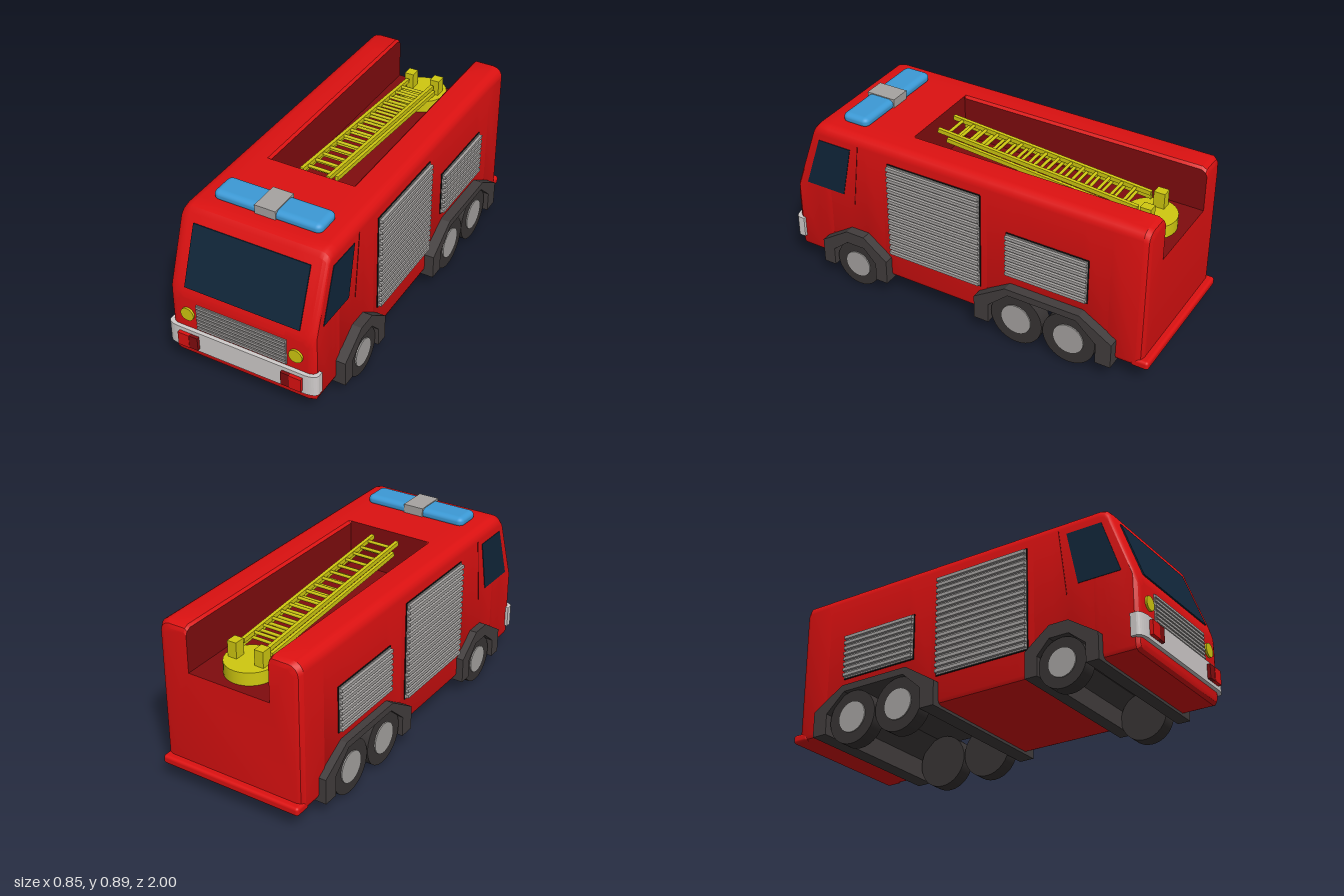
import * as THREE from 'three';
import { toCreasedNormals } from 'three/addons/utils/BufferGeometryUtils.js';
import { RoundedBoxGeometry } from 'three/addons/geometries/RoundedBoxGeometry.js';

const mat = (name, color) => {
  const m = new THREE.MeshStandardMaterial({ color });
  m.name = name;
  return m;
};

export function createModel() {
  const red = mat('red', 0xdd1111), darkRed = mat('darkRed', 0x800c0e), glass = mat('glass', 0x10263a);
  const fenderGrey = mat('fenderGrey', 0x423d3d), tyreGrey = mat('tyreGrey', 0x383434);
  const steel = mat('steel', 0xa6a3a1), bumperGrey = mat('bumperGrey', 0xd0cccb);
  const yellow = mat('yellow', 0xd0c810), blue = mat('blue', 0x3c9ad6), black = mat('black', 0x161414);

  const model = new THREE.Group();
  const truck = new THREE.Group();
  truck.name = 'truckBody';
  truck.position.x = -0.006;
  model.add(truck);

  const add = (name, geo, material, x = 0, y = 0, z = 0, parent = truck) => {
    const m = new THREE.Mesh(geo, material);
    m.name = name;
    m.position.set(x, y, z);
    parent.add(m);
    return m;
  };
  const box = (name, w, h, d, material, x, y, z, parent) =>
    add(name, new THREE.BoxGeometry(w, h, d), material, x, y, z, parent);
  // side outline given as [z, y], extruded across x and centred
  const sideExtrude = (pts, width) => {
    const shape = new THREE.Shape(pts.map(([z, y]) => new THREE.Vector2(z, y)));
    const g = new THREE.ExtrudeGeometry(shape, { depth: width, bevelEnabled: false });
    return g.translate(0, 0, -width / 2).rotateY(-Math.PI / 2);
  };

  // ---- Hull: cross-sections lofted along z, with an open trough in the roof
  const FLOOR = 0.62, TROUGH = 0.22;
  const section = (bottom, top, inset, floor) => {
    const w = 0.38 - inset, b = bottom + inset, t = top - inset, rb = 0.025, rt = 0.05;
    const half = [[w - rb, b], [w - 0.3 * rb, b + 0.3 * rb], [w, b + rb]];
    for (let i = 0; i <= 4; i++) {
      const a = (i / 4) * Math.PI / 2;
      half.push([w - rt + rt * Math.cos(a), t - rt + rt * Math.sin(a)]);
    }
    const f = floor ?? t;
    half.push([TROUGH + 0.012, t], [TROUGH, Math.max(f, t - 0.012)], [TROUGH, f]);
    return half.concat(half.map(([x, y]) => [-x, y]).reverse());
  };
  // z, bottom, top, inset, trough floor; the bottom steps up over the wheels
  const stations = [
    [-0.965, 0.1, 0.85, 0.03, FLOOR], [-0.957, 0.1, 0.85, 0.012, FLOOR], [-0.935, 0.1, 0.85, 0, FLOOR],
    [-0.79, 0.1, 0.85, 0, FLOOR], [-0.79, 0.225, 0.85, 0, FLOOR], [-0.655, 0.3, 0.85, 0, FLOOR],
    [-0.285, 0.3, 0.85, 0, FLOOR], [-0.15, 0.225, 0.85, 0, FLOOR], [-0.15, 0.1, 0.85, 0, FLOOR],
    [0.335, 0.1, 0.85, 0, FLOOR], [0.34, 0.1, 0.85, 0],
    [0.43, 0.1, 0.85, 0], [0.43, 0.22, 0.85, 0], [0.53, 0.27, 0.85, 0], [0.63, 0.27, 0.85, 0],
    [0.745, 0.22, 0.85, 0], [0.745, 0.1, 0.85, 0],
    [0.78, 0.1, 0.85, 0], [0.81, 0.1, 0.842, 0], [0.83, 0.1, 0.82, 0],
    [0.94, 0.1, 0.515, 0], [0.956, 0.1, 0.483, 0.012], [0.962, 0.1, 0.47, 0.03],
  ];
  const rings = stations.map(([z, b, t, i, f]) => section(b, t, i, f).map(([x, y]) => [x, y, z]));
  const hullPos = [], troughPos = [], n = rings[0].length, h = n / 2;
  for (let i = 0; i < rings.length - 1; i++) {
    for (let j = 0; j < n; j++) {
      const k = (j + 1) % n, a = rings[i][j], b = rings[i][k], c = rings[i + 1][k], d = rings[i + 1][j];
      const inTrough = j >= h - 2 && j <= h && stations[i][4] !== undefined;
      (inTrough ? troughPos : hullPos).push(...a, ...b, ...c, ...a, ...c, ...d);
    }
  }
  const cap = (ring, flip) => {
    const tris = THREE.ShapeUtils.triangulateShape(ring.map(([x, y]) => new THREE.Vector2(x, y)), []);
    for (const [a, b, c] of tris) hullPos.push(...ring[a], ...ring[flip ? c : b], ...ring[flip ? b : c]);
  };
  cap(rings[0], true);
  cap(rings[rings.length - 1], false);
  const fromPositions = (p) => {
    const g = new THREE.BufferGeometry();
    g.setAttribute('position', new THREE.Float32BufferAttribute(p, 3));
    return toCreasedNormals(g, 0.5);
  };
  add('hull', fromPositions(hullPos), red);
  add('roofTrough', fromPositions(troughPos), darkRed);
  add('rearStep', new RoundedBoxGeometry(0.76, 0.045, 0.09, 3, 0.015), red, 0, 0.122, -0.955);

  // ---- Windows
  const screen = box('windscreen', 0.602, 0.308, 0.008, glass, 0, 0.636, 0.899);
  screen.rotation.x = -0.347;
  const sideGlass = [[0.885, 0.5], [0.794, 0.77], [0.611, 0.77], [0.665, 0.5]];
  for (const s of [-1, 1]) {
    add('sideWindow', sideExtrude(sideGlass, 0.008), glass, s * 0.379);
    const seam = box('doorSeam', 0.004, 0.34, 0.004, darkRed, s * 0.38, 0.63, 0.585);
    seam.rotation.x = -0.11;
  }

  // ---- Roller shutters: dark frame, backing plate and slats
  const shutter = (s, z, y, w, height, count) => {
    const g = new THREE.Group();
    g.name = 'shutter';
    truck.add(g);
    box('shutterFrame', 0.008, height + 0.008, w + 0.008, black, s * 0.381, y, z, g);
    box('shutterPlate', 0.01, height, w, steel, s * 0.384, y, z, g);
    const pitch = height / count;
    for (let i = 0; i < count; i++) {
      box('slat', 0.016, pitch * 0.55, w, steel, s * 0.395, y - height / 2 + (i + 0.5) * pitch, z, g);
    }
  };
  for (const s of [-1, 1]) {
    shutter(s, 0.14, 0.503, 0.506, 0.513, 17);
    shutter(s, -0.468, 0.487, 0.422, 0.232, 8);
  }

  // ---- Front: grille, headlights, bumper and lamps
  box('grilleFrame', 0.474, 0.14, 0.01, steel, 0, 0.35, 0.962);
  for (let i = 0; i < 7; i++) box('grilleBar', 0.47, 0.012, 0.008, steel, 0, 0.29 + i * 0.02, 0.969);
  const plan = new THREE.Shape();
  plan.moveTo(-0.395, 0.925);
  plan.lineTo(0.395, 0.925);
  plan.lineTo(0.395, 0.955);
  plan.quadraticCurveTo(0.39, 0.978, 0.34, 0.982);
  plan.lineTo(-0.34, 0.982);
  plan.quadraticCurveTo(-0.39, 0.978, -0.395, 0.955);
  const bumper = new THREE.ExtrudeGeometry(plan, { depth: 0.11, bevelEnabled: false, curveSegments: 6 });
  add('bumper', bumper.rotateX(Math.PI / 2), bumperGrey, 0, 0.27, 0);
  for (const s of [-1, 1]) {
    const lamp = new THREE.CylinderGeometry(0.035, 0.035, 0.016, 24).rotateX(Math.PI / 2);
    add('headlight', lamp, yellow, s * 0.286, 0.35, 0.964);
    box('bumperLampOuter', 0.06, 0.072, 0.04, red, s * 0.297, 0.214, 0.98);
    box('bumperLampInner', 0.046, 0.072, 0.036, darkRed, s * 0.244, 0.214, 0.98);
  }

  // ---- Beacon bar on the cab roof
  add('beaconBar', new RoundedBoxGeometry(0.556, 0.07, 0.145, 4, 0.03).scale(1, 0.75, 1), blue, 0, 0.864, 0.652);
  box('beaconBand', 0.108, 0.056, 0.156, steel, 0, 0.867, 0.652);

  // ---- Turntable and two-section ladder
  add('turntable', new THREE.CylinderGeometry(0.123, 0.123, 0.065, 28), yellow, 0, 0.652, -0.8);
  const ladder = new THREE.Group();
  ladder.name = 'ladder';
  ladder.position.set(0, 0.722, -0.76);
  ladder.rotation.x = -0.075;
  truck.add(ladder);
  for (const s of [-1, 1]) {
    box('ladderPost', 0.048, 0.09, 0.055, yellow, s * 0.073, 0.72, -0.81);
    box('lowerRail', 0.016, 0.022, 1.01, yellow, s * 0.083, -0.012, 0.505, ladder);
    box('upperRail', 0.018, 0.022, 1.07, yellow, s * 0.07, 0.015, 0.535, ladder);
  }
  for (let i = 0; i < 15; i++) {
    const rung = () => new THREE.CylinderGeometry(0.008, 0.008, 0.15, 8).rotateZ(Math.PI / 2);
    add('upperRung', rung(), yellow, 0, 0.015, 0.08 + i * 0.067, ladder);
    add('lowerRung', rung(), yellow, 0, -0.012, 0.075 + i * 0.065, ladder);
  }

  // ---- Wheel arches running the full width
  const frontArch = [
    [0.4, 0.085], [0.465, 0.085], [0.465, 0.18], [0.53, 0.25], [0.63, 0.25], [0.715, 0.18], [0.715, 0.085],
    [0.78, 0.085], [0.78, 0.215], [0.63, 0.315], [0.53, 0.315], [0.4, 0.215],
  ];
  const rearArch = [
    [-0.835, 0.085], [-0.755, 0.085], [-0.755, 0.19], [-0.65, 0.285], [-0.29, 0.285], [-0.185, 0.19],
    [-0.185, 0.085], [-0.105, 0.085], [-0.105, 0.21], [-0.275, 0.32], [-0.665, 0.32], [-0.835, 0.215],
  ];
  add('frontFender', sideExtrude(frontArch, 0.846), fenderGrey, 0, 0, 0, model);
  add('rearFender', sideExtrude(rearArch, 0.846), fenderGrey, 0, 0, 0, model);

  // ---- Wheels: tyre with a hub disc
  for (const [z, r, y] of [[0.584, 0.122, 0.126], [-0.327, 0.137, 0.148], [-0.606, 0.137, 0.148]]) {
    for (const s of [-1, 1]) {
      const disc = (radius, w) => new THREE.CylinderGeometry(radius, radius, w, 32).rotateZ(Math.PI / 2);
      add('tyre', disc(r, 0.076), tyreGrey, s * 0.365, y, z, model);
      add('hub', disc(r * 0.58, 0.01), steel, s * 0.404, y, z, model);
    }
  }
  return model;
}
